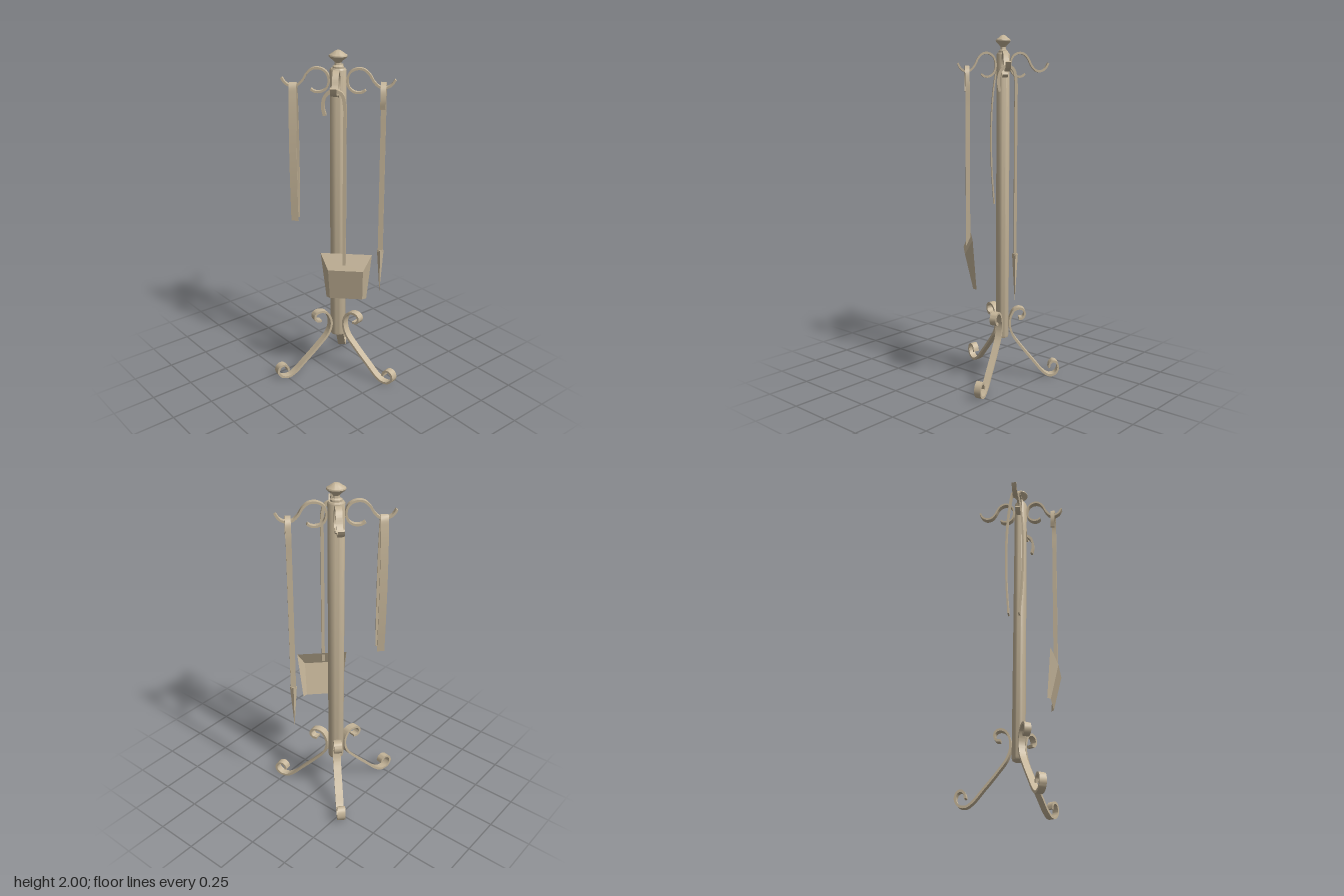
import * as THREE from 'three';
import { toCreasedNormals } from 'three/addons/utils/BufferGeometryUtils.js';

const metal = new THREE.MeshStandardMaterial({ color: 0xc4b498 });
const sheet = new THREE.MeshStandardMaterial({ color: 0xc4b498, side: THREE.DoubleSide });

function part(name, geometry, material = metal) {
  const mesh = new THREE.Mesh(geometry, material);
  mesh.name = name;
  return mesh;
}

// Flat bar bent along a smooth path in the XY plane, centred on z = 0
function bentBar(path, thickness, width, steps = 64) {
  const curve = new THREE.CatmullRomCurve3(path.map(([x, y]) => new THREE.Vector3(x, y, 0)));
  const outer = [], inner = [];
  for (let i = 0; i <= steps; i++) {
    const p = curve.getPointAt(i / steps), t = curve.getTangentAt(i / steps);
    const nx = -t.y * thickness / 2, ny = t.x * thickness / 2;
    outer.push(new THREE.Vector2(p.x + nx, p.y + ny));
    inner.push(new THREE.Vector2(p.x - nx, p.y - ny));
  }
  const shape = new THREE.Shape([...outer, ...inner.reverse()]);
  const geometry = new THREE.ExtrudeGeometry(shape, { depth: width, bevelEnabled: false });
  geometry.translate(0, 0, -width / 2);
  return toCreasedNormals(geometry, 0.6);
}

function lathe(points, segments = 32) {
  const geometry = new THREE.LatheGeometry(points.map(([r, y]) => new THREE.Vector2(r, y)), segments);
  return toCreasedNormals(geometry, 0.6);
}

// Handle with a hooked top, running down to the given height
function hookedHandle(bottom) {
  return bentBar([
    [0.05, 1.69], [0.06, 1.74], [0.045, 1.797], [0, 1.822], [-0.04, 1.805],
    [-0.056, 1.75], [-0.057, 1.6], [-0.057, 1.2], [-0.057, bottom]
  ], 0.018, 0.03, 120);
}

// Hollow scoop: sloped back wall, base plate and two tapering side walls
function scoop() {
  const side = s => [
    [0.228, 0.88, s * 0.147],  // rim, top
    [0.2, 0.59, s * 0.117],    // rim, bottom
    [0.278, 0.79, s * 0.1],    // fold
    [0.222, 0.59, s * 0.095]   // base, bottom
  ];
  const [lt, lr, lf, lb] = side(1), [rt, rr, rf, rb] = side(-1);
  const quads = [[lt, lf, rf, rt], [lf, lb, rb, rf], [lt, lr, lb, lf], [rt, rf, rb, rr]];
  const positions = quads.flatMap(([a, b, c, d]) => [a, b, c, a, c, d]).flat();
  const geometry = new THREE.BufferGeometry();
  geometry.setAttribute('position', new THREE.Float32BufferAttribute(positions, 3));
  geometry.computeVertexNormals();
  return geometry;
}

export function createModel() {
  const model = new THREE.Group();
  model.name = 'fireplaceToolSet';

  // The stand is turned 45 degrees and slightly narrowed along one axis
  const stand = new THREE.Group();
  stand.name = 'stand';
  stand.position.set(-0.067, 0, -0.067);
  stand.rotation.y = -Math.PI / 4;
  stand.scale.x = 0.81;
  model.add(stand);

  // Post and finial
  stand.add(part('post', lathe([
    [0, 0.25], [0.03, 0.25], [0.042, 0.256], [0.046, 0.268], [0.046, 1.893], [0.04, 1.902], [0, 1.902]
  ])));
  stand.add(part('finial', lathe([
    [0.032, 1.9], [0.032, 1.912], [0.02, 1.92], [0.018, 1.932], [0.026, 1.943], [0.046, 1.958],
    [0.052, 1.966], [0.05, 1.973], [0.033, 1.984], [0.018, 1.995], [0.008, 1.999], [0, 2]
  ])));

  // Three scrolled legs
  const leg = bentBar([
    [0.12, 0.365], [0.148, 0.368], [0.163, 0.392], [0.153, 0.417], [0.122, 0.427], [0.085, 0.415],
    [0.06, 0.377], [0.053, 0.33], [0.073, 0.268], [0.14, 0.19], [0.23, 0.1], [0.3, 0.033],
    [0.345, 0.01], [0.39, 0.018], [0.413, 0.05], [0.403, 0.085], [0.374, 0.096], [0.352, 0.08],
    [0.346, 0.055]
  ], 0.014, 0.047, 110);
  for (const angle of [Math.PI, Math.PI / 3, -Math.PI / 3]) {
    const mesh = part('leg', leg);
    mesh.rotation.y = angle;
    stand.add(mesh);
  }

  // Four hanging arms
  const arm = bentBar([
    [0.152, 1.785], [0.13, 1.772], [0.095, 1.772], [0.063, 1.793], [0.051, 1.835], [0.065, 1.878],
    [0.1, 1.899], [0.14, 1.897], [0.172, 1.872], [0.196, 1.833], [0.225, 1.806], [0.26, 1.8],
    [0.293, 1.815], [0.314, 1.845]
  ], 0.012, 0.034, 80);
  for (let i = 0; i < 4; i++) {
    const mesh = part('hangingArm', arm);
    mesh.rotation.y = i * Math.PI / 2;
    stand.add(mesh);
  }

  // Tongs: one bowed strip looped over its arm
  const half = [[-0.036, 1.01], [-0.053, 1.2], [-0.06, 1.4], [-0.053, 1.6], [-0.034, 1.75], [-0.02, 1.802]];
  const tongs = part('tongs', bentBar(
    [...half, [0, 1.815], ...half.map(([x, y]) => [-x, y]).reverse()], 0.01, 0.042, 120));
  tongs.position.z = 0.25;
  stand.add(tongs);

  // Poker: hooked handle with a tapered point
  const poker = new THREE.Group();
  poker.name = 'poker';
  poker.position.z = -0.25;
  const handle = part('pokerHandle', hookedHandle(0.8));
  const pointGeometry = new THREE.ConeGeometry(0.02, 0.275, 4).toNonIndexed();
  pointGeometry.rotateX(Math.PI);
  pointGeometry.computeVertexNormals();
  const point = part('pokerPoint', pointGeometry);
  point.position.set(-0.057, 0.672, 0);
  poker.add(handle, point);
  stand.add(poker);

  // Shovel: hooked handle and scoop
  const shovel = new THREE.Group();
  shovel.name = 'shovel';
  const shovelHandle = part('shovelHandle', hookedHandle(0.82));
  shovelHandle.rotation.y = -Math.PI / 2;
  shovelHandle.position.x = 0.25;
  const pan = part('shovelScoop', scoop(), sheet);
  pan.position.z = -0.066;
  shovel.add(shovelHandle, pan);
  stand.add(shovel);

  return model;
}
